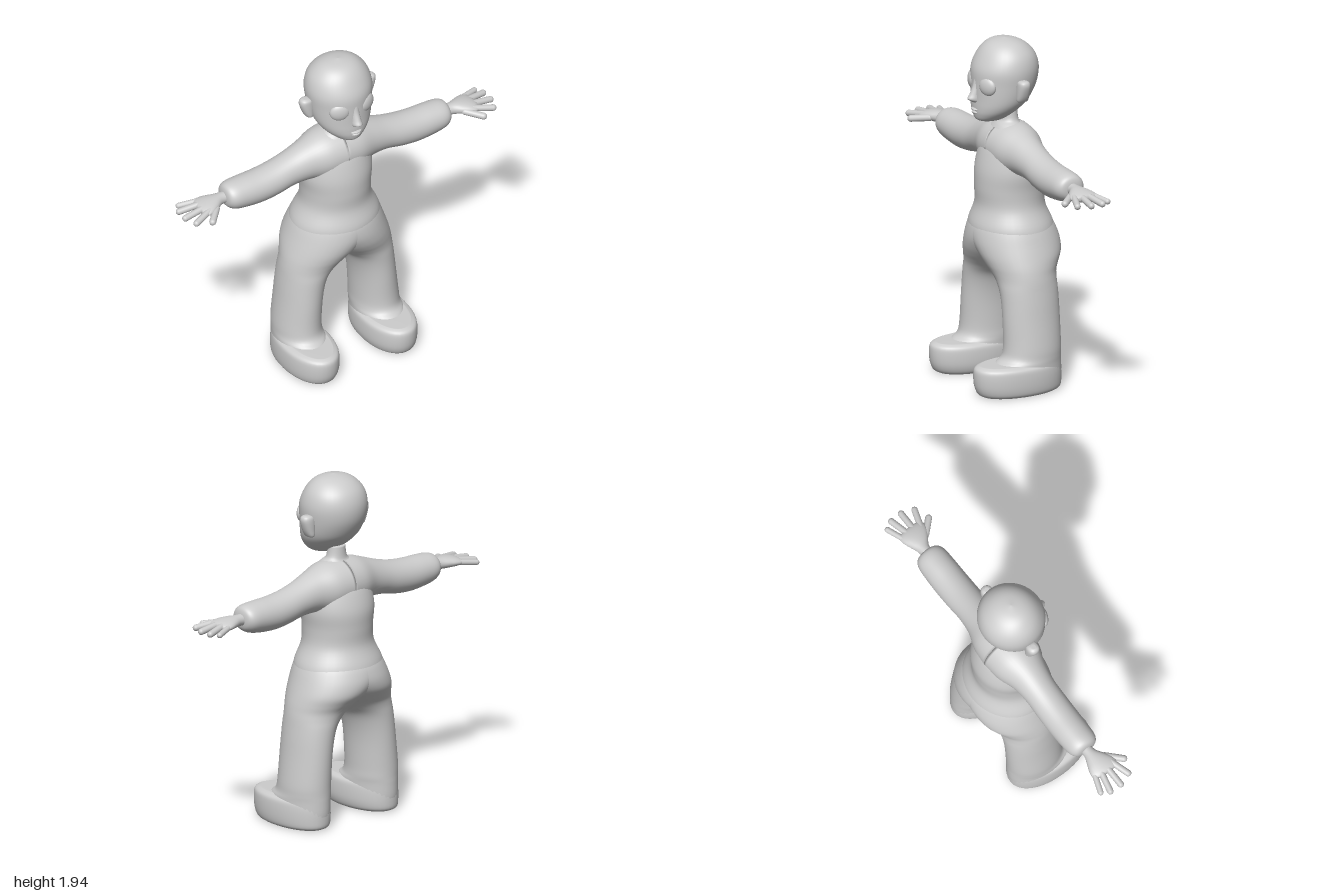
import * as THREE from 'three';

const clay = new THREE.MeshStandardMaterial({ color: 0xcccccc });
clay.name = 'clay grey';

// Catmull-Rom interpolation of one column of a section table
function sample(rows, t, k) {
  const i = Math.min(Math.floor(t), rows.length - 2), f = t - i;
  const at = (j) => rows[Math.max(0, Math.min(rows.length - 1, j))][k];
  const [a, b, c, d] = [at(i - 1), at(i), at(i + 1), at(i + 2)];
  return b + 0.5 * f * (c - a + f * (2 * a - 5 * b + 4 * c - d + f * (3 * (b - c) + d - a)));
}

// Smooth skin over oval sections [position, uMin, uMax, vMin, vMax].
// Axis 'y': u = x, v = z.  Axis 'x': u = z, v = y.
function loft(axis, rows, power = 2, sides = 40, sub = 5) {
  const pos = [], idx = [], rings = (rows.length - 1) * sub;
  const round = (c) => Math.sign(c) * Math.abs(c) ** (2 / power);
  for (let i = 0; i <= rings; i++) {
    const [p, u0, u1, v0, v1] = [0, 1, 2, 3, 4].map((k) => sample(rows, i / sub, k));
    for (let j = 0; j < sides; j++) {
      const a = (j / sides) * Math.PI * 2;
      const u = (u0 + u1) / 2 + ((u1 - u0) / 2) * round(Math.cos(a));
      const v = (v0 + v1) / 2 + ((v1 - v0) / 2) * round(Math.sin(a));
      pos.push(...(axis === 'y' ? [u, p, v] : [p, v, u]));
      if (i === rings) continue;
      const n = (j + 1) % sides, r = i * sides, s = r + sides;
      idx.push(r + j, s + j, r + n, r + n, s + j, s + n);
    }
  }
  // End caps
  for (let j = 1; j < sides - 1; j++) {
    const e = rings * sides;
    idx.push(0, j, j + 1, e, e + j + 1, e + j);
  }
  const g = new THREE.BufferGeometry();
  g.setAttribute('position', new THREE.Float32BufferAttribute(pos, 3));
  g.setIndex(idx);
  g.computeVertexNormals();
  return g;
}

// Rounded finger from point a to point b
function finger(a, b, r) {
  const A = new THREE.Vector3(...a), B = new THREE.Vector3(...b), d = B.clone().sub(A);
  const g = new THREE.CapsuleGeometry(r, d.length(), 6, 14);
  g.applyQuaternion(new THREE.Quaternion().setFromUnitVectors(new THREE.Vector3(0, 1, 0), d.normalize()));
  return g.translate(...A.add(B).multiplyScalar(0.5).toArray());
}

function ellipsoid(center, radii, yaw = 0) {
  return new THREE.SphereGeometry(1, 28, 18).scale(...radii).rotateY(yaw).translate(...center);
}

function mirrored(geometry) {
  const g = geometry.clone().scale(-1, 1, 1), ix = g.index;
  for (let i = 0; i < ix.count; i += 3) {
    const b = ix.getX(i + 1);
    ix.setX(i + 1, ix.getX(i + 2));
    ix.setX(i + 2, b);
  }
  return g;
}

export function createModel() {
  const model = new THREE.Group();
  model.name = 'figure';
  const add = (name, geometry) => {
    const m = new THREE.Mesh(geometry, clay);
    m.name = name;
    model.add(m);
  };
  const pair = (name, geometry) => {
    add('left' + name, geometry);
    add('right' + name, mirrored(geometry));
  };
  const centred = (rows) => rows.map(([y, w, z0, z1]) => [y, -w, w, z0, z1]);

  // Torso from hips to neck
  add('torso', loft('y', centred([
    [0.78, 0.22, -0.24, 0.12], [0.84, 0.255, -0.28, 0.167], [0.9, 0.25, -0.275, 0.173],
    [1.0, 0.205, -0.235, 0.143], [1.1, 0.199, -0.235, 0.145], [1.2, 0.21, -0.235, 0.14],
    [1.3, 0.2, -0.205, 0.115], [1.37, 0.185, -0.165, 0.085], [1.42, 0.15, -0.13, 0.06],
    [1.455, 0.09, -0.1, 0.035], [1.48, 0.06, -0.09, 0.012], [1.54, 0.05, -0.085, 0.01],
  ])));

  // Head, with a narrow jaw and a full skull
  add('head', loft('y', centred([
    [1.484, 0.015, 0.07, 0.11], [1.495, 0.065, 0.0, 0.155], [1.53, 0.112, -0.055, 0.17],
    [1.57, 0.146, -0.105, 0.173], [1.62, 0.168, -0.15, 0.172], [1.7, 0.182, -0.19, 0.172],
    [1.78, 0.187, -0.2, 0.168], [1.85, 0.168, -0.18, 0.137], [1.9, 0.127, -0.135, 0.098],
    [1.928, 0.075, -0.08, 0.05], [1.94, 0.002, -0.017, -0.013],
  ])));

  // Face
  add('nose', loft('y', centred([
    [1.593, 0.008, 0.14, 0.172], [1.605, 0.026, 0.13, 0.193], [1.62, 0.028, 0.13, 0.213],
    [1.645, 0.025, 0.13, 0.199], [1.69, 0.024, 0.12, 0.18], [1.75, 0.03, 0.1, 0.168],
  ]), 2, 20));
  add('upperLip', ellipsoid([0, 1.558, 0.165], [0.036, 0.008, 0.021]));
  add('lowerLip', ellipsoid([0, 1.541, 0.163], [0.028, 0.009, 0.02]));
  pair('Eye', ellipsoid([0.087, 1.702, 0.137], [0.055, 0.052, 0.026], 0.4));

  // Ears, broader towards the top
  pair('Ear', loft('y', [
    [1.618, 0.172, 0.19, -0.035, -0.01], [1.626, 0.165, 0.205, -0.055, 0.008], [1.66, 0.16, 0.224, -0.058, 0.012],
    [1.71, 0.16, 0.24, -0.058, 0.012], [1.735, 0.17, 0.237, -0.052, 0.008], [1.745, 0.195, 0.222, -0.035, -0.008],
  ], 2.3, 24));

  // Sleeved arms, widening into the chest
  pair('Arm', loft('x', [
    [0, -0.2, 0.108, 1.18, 1.468], [0.1, -0.188, 0.097, 1.18, 1.458], [0.2, -0.153, 0.066, 1.198, 1.425],
    [0.3, -0.14, 0.05, 1.195, 1.39], [0.4, -0.14, 0.05, 1.175, 1.365], [0.5, -0.14, 0.05, 1.165, 1.353],
    [0.6, -0.138, 0.048, 1.172, 1.35], [0.67, -0.133, 0.043, 1.186, 1.345],
    [0.705, -0.115, 0.025, 1.207, 1.332], [0.718, -0.085, -0.005, 1.235, 1.305],
    [0.72, -0.047, -0.043, 1.268, 1.272],
  ]));

  // Hands: flat palm, four fingers and a thumb
  pair('Palm', loft('x', [
    [0.68, -0.08, -0.01, 1.235, 1.3], [0.74, -0.08, -0.01, 1.235, 1.3],
    [0.79, -0.098, 0.02, 1.234, 1.3], [0.83, -0.113, 0.04, 1.235, 1.296],
    [0.865, -0.115, 0.045, 1.238, 1.288], [0.885, -0.09, 0.025, 1.246, 1.278],
    [0.89, -0.04, -0.03, 1.26, 1.264],
  ], 2, 24));
  [
    ['LittleFinger', [0.85, 1.264, -0.095], [0.953, 1.25, -0.131], 0.016],
    ['RingFinger', [0.86, 1.268, -0.06], [0.979, 1.25, -0.085], 0.018],
    ['MiddleFinger', [0.86, 1.268, -0.02], [0.982, 1.25, -0.016], 0.018],
    ['IndexFinger', [0.85, 1.267, 0.018], [0.955, 1.25, 0.055], 0.018],
    ['Thumb', [0.8, 1.26, 0.012], [0.873, 1.247, 0.088], 0.019],
  ].forEach(([name, a, b, r]) => pair(name, finger(a, b, r)));

  // Trouser legs: flared over the instep, merging into one oval at the hips
  pair('Leg', loft('y', [
    [0.02, 0.14, 0.36, -0.2, 0.1], [0.08, 0.122, 0.38, -0.215, 0.18], [0.16, 0.12, 0.38, -0.216, 0.175],
    [0.2, 0.121, 0.377, -0.215, 0.13], [0.26, 0.122, 0.374, -0.215, 0.116], [0.4, 0.115, 0.358, -0.215, 0.115],
    [0.5, 0.098, 0.348, -0.215, 0.115], [0.57, 0.07, 0.34, -0.216, 0.118], [0.62, 0.022, 0.334, -0.219, 0.123],
    [0.66, -0.03, 0.327, -0.23, 0.135], [0.7, -0.085, 0.318, -0.257, 0.152], [0.75, -0.145, 0.303, -0.29, 0.17],
    [0.81, -0.21, 0.282, -0.3, 0.181], [0.87, -0.245, 0.26, -0.287, 0.178], [0.92, -0.237, 0.237, -0.262, 0.163],
    [1.0, -0.195, 0.195, -0.225, 0.133],
  ]));

  // Chunky shoes
  pair('Shoe', loft('y', [
    [0.002, 0.135, 0.37, -0.185, 0.255], [0.018, 0.117, 0.388, -0.21, 0.28], [0.06, 0.106, 0.396, -0.215, 0.297],
    [0.12, 0.106, 0.396, -0.213, 0.302], [0.158, 0.114, 0.388, -0.205, 0.295], [0.174, 0.14, 0.36, -0.19, 0.265],
  ], 2.1));

  return model;
}
